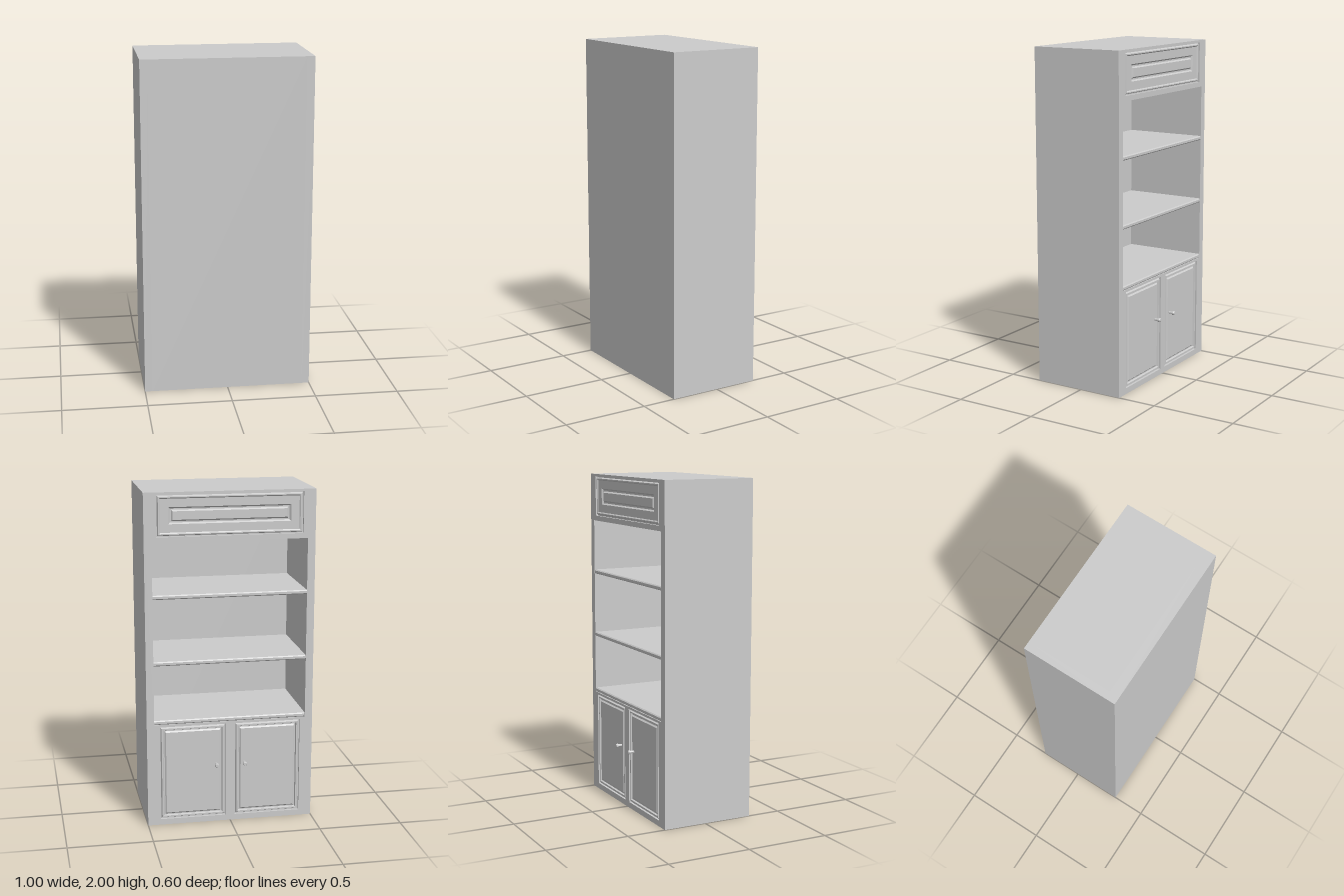
import * as THREE from 'three';

const material = new THREE.MeshStandardMaterial({ color: 0xcccccc, flatShading: true });

const FRONT = 0.265, BACK = -0.3, WALL = 0.045, FRAME = 0.03;
const INNER = 0.5 - WALL;      // half width of the open bay
const INNER_BACK = -0.24;

function add(parent, name, geometry, x = 0, y = 0, z = 0) {
  const mesh = new THREE.Mesh(geometry, material);
  mesh.name = name;
  mesh.position.set(x, y, z);
  parent.add(mesh);
  return mesh;
}

// Box given by its limits
function board(parent, name, x0, x1, y0, y1, z0, z1) {
  return add(parent, name, new THREE.BoxGeometry(x1 - x0, y1 - y0, z1 - z0),
    (x0 + x1) / 2, (y0 + y1) / 2, (z0 + z1) / 2);
}

function rectangle(Type, [x0, x1, y0, y1]) {
  return new Type([[x0, y0], [x1, y0], [x1, y1], [x0, y1]].map(p => new THREE.Vector2(...p)));
}

// Moulded panel: nested rectangles, each step is [inset, depth behind the front]
function mouldedPanel([x0, x1, y0, y1], steps) {
  const positions = [], index = [];
  for (const [i, d] of steps) {
    positions.push(x0 + i, y0 + i, -d, x1 - i, y0 + i, -d, x1 - i, y1 - i, -d, x0 + i, y1 - i, -d);
  }
  for (let s = 0; s < steps.length - 1; s++) {
    for (let k = 0; k < 4; k++) {
      const a = s * 4 + k, b = s * 4 + (k + 1) % 4;
      index.push(a, b, b + 4, a, b + 4, a + 4);
    }
  }
  const c = (steps.length - 1) * 4;
  index.push(c, c + 1, c + 2, c, c + 2, c + 3);
  const geometry = new THREE.BufferGeometry();
  geometry.setAttribute('position', new THREE.Float32BufferAttribute(positions, 3));
  geometry.setIndex(index);
  const flat = geometry.toNonIndexed();
  flat.computeVertexNormals();
  return flat;
}

// Shelf with a small chamfer along its front edge
function shelfGeometry(thickness) {
  const f = FRONT - 0.001, c = 0.006;
  const profile = new THREE.Shape([
    [INNER_BACK, 0], [f - c, 0], [f, c], [f, thickness - c], [f - c, thickness], [INNER_BACK, thickness],
  ].map(([z, y]) => new THREE.Vector2(-z, y)));
  const geometry = new THREE.ExtrudeGeometry(profile, { depth: 2 * INNER, bevelEnabled: false });
  return geometry.rotateY(Math.PI / 2).translate(-INNER, 0, 0);
}

export function createModel() {
  const model = new THREE.Group();
  model.name = 'bookcase';
  const cabinet = new THREE.Group();
  cabinet.name = 'cabinet';
  cabinet.rotation.y = Math.PI;   // the open side looks towards -z
  model.add(cabinet);

  // Carcass
  const z1 = FRONT - FRAME;
  board(cabinet, 'leftSide', INNER, 0.5, 0, 2, BACK, z1);
  board(cabinet, 'rightSide', -0.5, -INNER, 0, 2, BACK, z1);
  board(cabinet, 'backPanel', -INNER, INNER, 0, 2, BACK, INNER_BACK);
  board(cabinet, 'topBoard', -INNER, INNER, 1.99, 2, INNER_BACK, z1);
  board(cabinet, 'bottomBoard', -INNER, INNER, 0, 0.03, INNER_BACK, z1);
  board(cabinet, 'drawerFloor', -INNER, INNER, 1.715, 1.735, INNER_BACK, z1);

  // Front frame with openings for the drawer, the shelves and the doors
  const drawer = [-0.428, 0.428, 1.745, 1.986];
  const doors = [[-0.424, -0.027, 0.035, 0.616], [0.027, 0.424, 0.035, 0.616]];
  const frame = rectangle(THREE.Shape, [-0.5, 0.5, 0, 2]);
  for (const hole of [drawer, ...doors, [-INNER, INNER, 0.63, 1.715]]) {
    frame.holes.push(rectangle(THREE.Path, hole));
  }
  add(cabinet, 'frontFrame',
    new THREE.ExtrudeGeometry(frame, { depth: FRAME, bevelEnabled: false }), 0, 0, z1);

  // Shelves, the lowest one covering the cupboard
  for (const top of [1.408, 1.013, 0.655]) {
    add(cabinet, 'shelf', shelfGeometry(0.025), 0, top - 0.025, 0);
  }

  // Drawer front with a raised centre field
  add(cabinet, 'drawerFront', mouldedPanel(drawer, [
    [0, 0.014], [0.006, 0.014], [0.012, 0.002], [0.018, 0.002], [0.024, 0.008],
    [0.072, 0.008], [0.08, 0.018], [0.088, 0.018], [0.096, 0.008],
  ]), 0, 0, FRONT);

  // Cupboard doors and their knobs
  const doorSteps = [
    [0, 0.014], [0.006, 0.014], [0.012, 0.002], [0.02, 0.002],
    [0.024, 0.012], [0.03, 0.012], [0.038, 0.004],
  ];
  for (const rect of doors) {
    const side = Math.sign(rect[0]);
    add(cabinet, 'cupboardDoor', mouldedPanel(rect, doorSteps), 0, 0, FRONT);
    const profile = [[0.008, -0.008], [0.008, 0.018], [0.0125, 0.02], [0.0125, 0.03], [0.009, 0.035], [0, 0.035]];
    const knob = new THREE.LatheGeometry(profile.map(p => new THREE.Vector2(...p)), 10);
    add(cabinet, 'knob', knob.rotateX(Math.PI / 2), side * 0.085, 0.365, FRONT);
  }
  return model;
}
